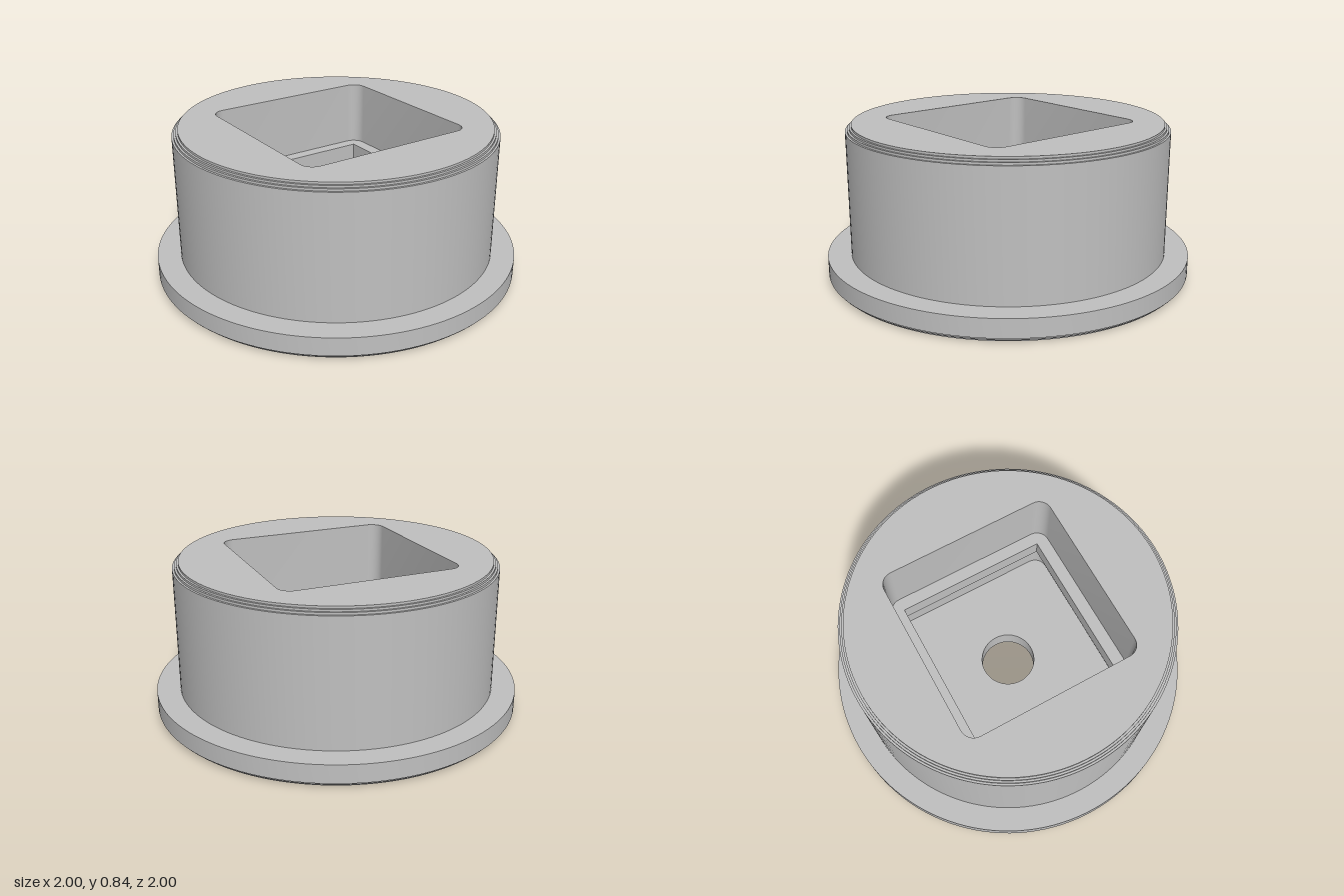
import * as THREE from 'three';
import { toCreasedNormals } from 'three/addons/utils/BufferGeometryUtils.js';

const grey = new THREE.MeshStandardMaterial({ color: 0xc0c0c0 });
grey.name = 'grey';

// Heights of the stepped interior, and plan sizes
const TOP = 0.84, LIP_TOP = 0.48, LIP_BOTTOM = 0.38, FLOOR = 0.12;
const POCKET = 0.495, CORNER = 0.07, LIP = 0.425, HOLE = 0.153, RIM = 0.84;
const SEGMENTS = 128;

// Counter-clockwise outlines
function squareLoop(half, radius = 0) {
  const points = [];
  [[1, 1], [-1, 1], [-1, -1], [1, -1]].forEach(([sx, sy], corner) => {
    const steps = radius ? 8 : 0;
    for (let i = 0; i <= steps; i++) {
      const a = (corner + (steps ? i / steps : 0)) * Math.PI / 2;
      points.push(new THREE.Vector2(
        sx * (half - radius) + radius * Math.cos(a),
        sy * (half - radius) + radius * Math.sin(a)));
    }
  });
  return points;
}

function circleLoop(radius) {
  return Array.from({ length: SEGMENTS }, (_, i) => {
    const a = i / SEGMENTS * Math.PI * 2;
    return new THREE.Vector2(radius * Math.sin(a), -radius * Math.cos(a));
  });
}

// Flat face between two outlines, facing up or down
function ringFace(outer, inner, y, up = true) {
  const shape = new THREE.Shape(outer);
  shape.holes.push(new THREE.Path(inner));
  const geometry = new THREE.ShapeGeometry(shape);
  geometry.rotateX(up ? -Math.PI / 2 : Math.PI / 2);
  return geometry.translate(0, y, 0);
}

// Upright wall along an outline, facing the middle
function innerWall(loop, y0, y1) {
  const positions = [];
  loop.forEach((a, i) => {
    const b = loop[(i + 1) % loop.length];
    positions.push(
      a.x, y0, -a.y, a.x, y1, -a.y, b.x, y0, -b.y,
      b.x, y0, -b.y, a.x, y1, -a.y, b.x, y1, -b.y);
  });
  const geometry = new THREE.BufferGeometry();
  geometry.setAttribute('position', new THREE.Float32BufferAttribute(positions, 3));
  geometry.computeVertexNormals();
  return toCreasedNormals(geometry, 0.6);
}

export function createModel() {
  const model = new THREE.Group();
  model.name = 'flangedSocket';
  const add = (name, geometry) => {
    const mesh = new THREE.Mesh(geometry, grey);
    mesh.name = name;
    model.add(mesh);
  };

  // Through hole, underside, stepped flange, body and stepped top edge
  const profile = [
    [HOLE, FLOOR], [HOLE, 0], [0.975, 0], [0.975, 0.008], [0.983, 0.008],
    [0.983, 0.016], [0.992, 0.016], [0.992, 0.025], [1, 0.025],
    [1, 0.125], [0.873, 0.125], [0.873, 0.805], [0.862, 0.805],
    [0.862, 0.817], [0.851, 0.817], [0.851, 0.828], [RIM, 0.828], [RIM, TOP],
  ].map(([r, y]) => new THREE.Vector2(r, y));
  add('outerBody', toCreasedNormals(new THREE.LatheGeometry(profile, SEGMENTS), 0.6));

  const pocket = squareLoop(POCKET, CORNER);
  const opening = squareLoop(LIP);

  // Upper pocket
  add('topFace', ringFace(circleLoop(RIM), pocket, TOP));
  add('pocketWall', innerWall(pocket, LIP_TOP, TOP));

  // Square retaining lip
  add('lipTop', ringFace(pocket, opening, LIP_TOP));
  add('lipWall', innerWall(opening, LIP_BOTTOM, LIP_TOP));
  add('lipUnderside', ringFace(pocket, opening, LIP_BOTTOM, false));

  // Lower cavity with the hole in its floor
  add('cavityWall', innerWall(pocket, FLOOR, LIP_BOTTOM));
  add('cavityFloor', ringFace(pocket, circleLoop(HOLE), FLOOR));
  return model;
}
